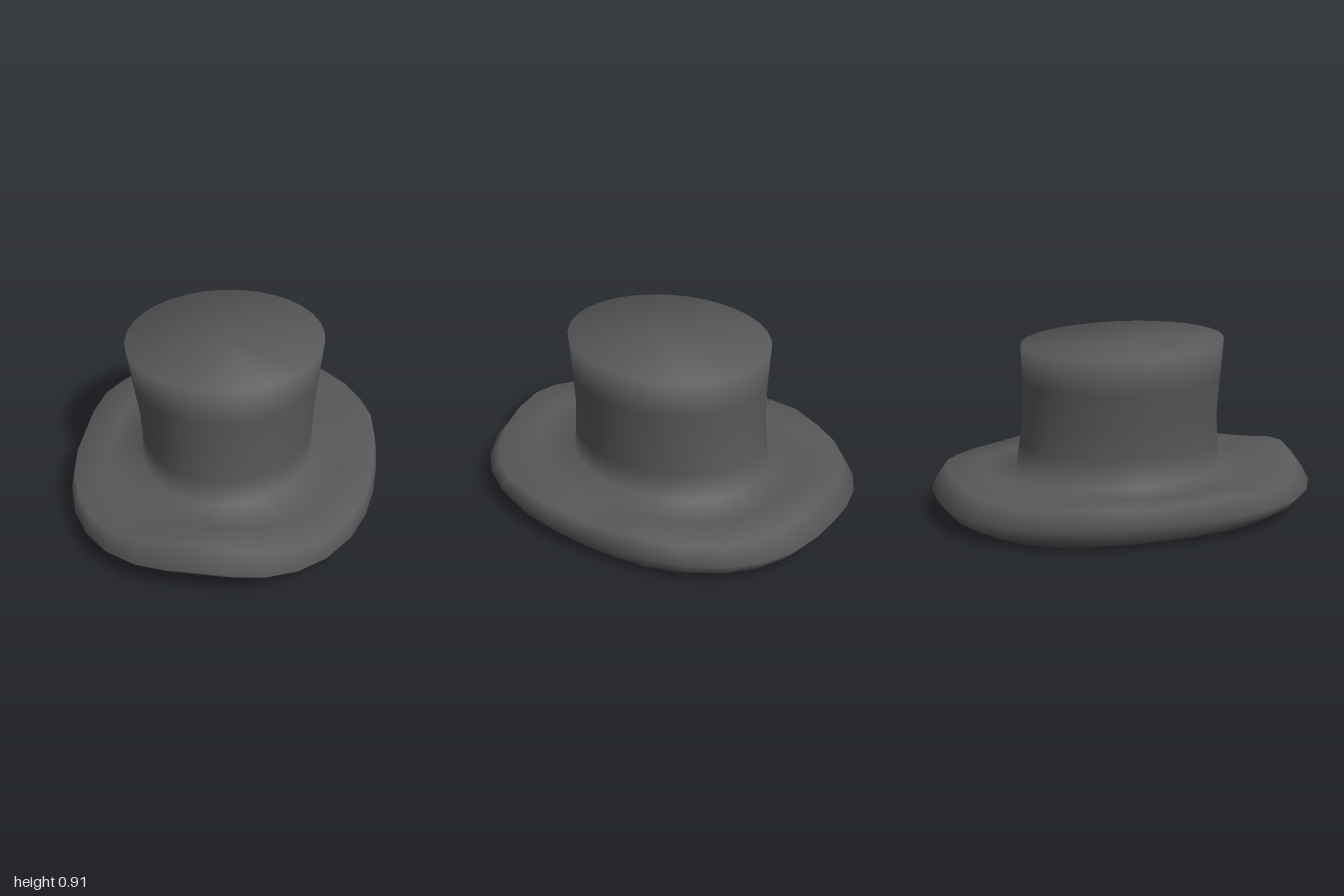
import * as THREE from 'three';

const N = 32;

// Superellipse ring; y is a rule of the point's own x and z
function ring(rx, rz, power, y, dx = 0, dz = 0) {
  const pts = [];
  for (let i = 0; i < N; i++) {
    const a = (i / N) * Math.PI * 2;
    const s = Math.sin(a), c = Math.cos(a);
    const k = Math.pow(Math.pow(Math.abs(s), power) + Math.pow(Math.abs(c), power), -1 / power);
    const x = rx * s * k + dx, z = rz * c * k + dz;
    pts.push(x, y(x, z), z);
  }
  return pts;
}

// Upward curl of the brim at the front and back, and its gentle side waves
const curl = (x, z, front, back) =>
  (z > 0 ? front : back) * Math.exp(-((x / 0.32) ** 2)) * Math.min(1, Math.abs(z) / 0.8);
const wave = (x, z) => 0.028 * Math.min(1, Math.abs(x) / 0.7) * Math.exp(-(((Math.abs(z) - 0.3) / 0.15) ** 2));

const under = (x, z) => 0.022 + 0.028 * z;
const crownTop = (x, z) => 0.895 + 0.04 * z + 0.03 * x;

export function createModel() {
  const rings = [
    // Underside, from the middle outwards
    ring(0, 0, 2, under),
    ring(0.45, 0.52, 2.2, under),
    ring(0.67, 0.76, 2.4, (x, z) => under(x, z) + curl(x, z, 0.02, 0.015)),
    ring(0.76, 0.87, 2.4, (x, z) => under(x, z) + 0.012 + curl(x, z, 0.055, 0.03)),
    // Rolled edge
    ring(0.79, 0.95, 2.4, (x, z) => 0.068 + 0.02 * z + curl(x, z, 0.035, 0.02)),
    ring(0.812, 1.0, 2.4, (x, z) => 0.125 + 0.01 * z + curl(x, z, 0.045, 0.015)),
    ring(0.797, 0.925, 2.4, (x, z) => 0.202 + wave(x, z) + curl(x, z, 0.086, 0.058)),
    // Top of the brim, running in to the crown
    ring(0.63, 0.74, 2.3, (x, z) => 0.208 + 0.5 * wave(x, z) + curl(x, z, 0.045, 0.028)),
    ring(0.457, 0.55, 2, (x, z) => 0.218 + 0.012 * z, 0, -0.01),
    // Crown wall, flaring to the top
    ring(0.455, 0.534, 2, () => 0.36, 0, -0.006),
    ring(0.463, 0.52, 2, () => 0.5, -0.003, -0.003),
    ring(0.488, 0.524, 2, (x, z) => 0.7 + 0.02 * z + 0.015 * x, -0.008, 0.004),
    ring(0.513, 0.533, 2, crownTop, -0.013, 0.007),
    // Flat lid
    ring(0, 0, 2, crownTop, -0.013, 0.007),
  ];
  const crownStart = 8;

  // Join ring r to ring r + 1, leaving out collapsed corners at the two centres
  const skin = (from, to) => {
    const index = [];
    for (let r = from; r < to; r++) {
      for (let i = 0; i < N; i++) {
        const j = (i + 1) % N;
        const a = r * N + i, b = r * N + j, c = (r + 1) * N + j, d = (r + 1) * N + i;
        if (r > 0) index.push(a, b, c);
        else index.push(a, c, d);
        if (r > 0 && r < rings.length - 2) index.push(a, c, d);
      }
    }
    return index;
  };

  // One smooth set of normals, so that brim and crown flow together
  const whole = new THREE.BufferGeometry();
  whole.setAttribute('position', new THREE.Float32BufferAttribute(rings.flat(), 3));
  whole.setIndex(skin(0, rings.length - 1));
  whole.computeVertexNormals();

  const felt = new THREE.MeshStandardMaterial({ color: 0x585858 });
  const hat = new THREE.Group();
  hat.name = 'hat';
  const addPart = (name, from, to) => {
    const geometry = new THREE.BufferGeometry();
    geometry.setAttribute('position', whole.getAttribute('position').clone());
    geometry.setAttribute('normal', whole.getAttribute('normal').clone());
    geometry.setIndex(skin(from, to));
    const mesh = new THREE.Mesh(geometry, felt);
    mesh.name = name;
    hat.add(mesh);
  };
  addPart('brim', 0, crownStart);
  addPart('crown', crownStart, rings.length - 1);
  return hat;
}
